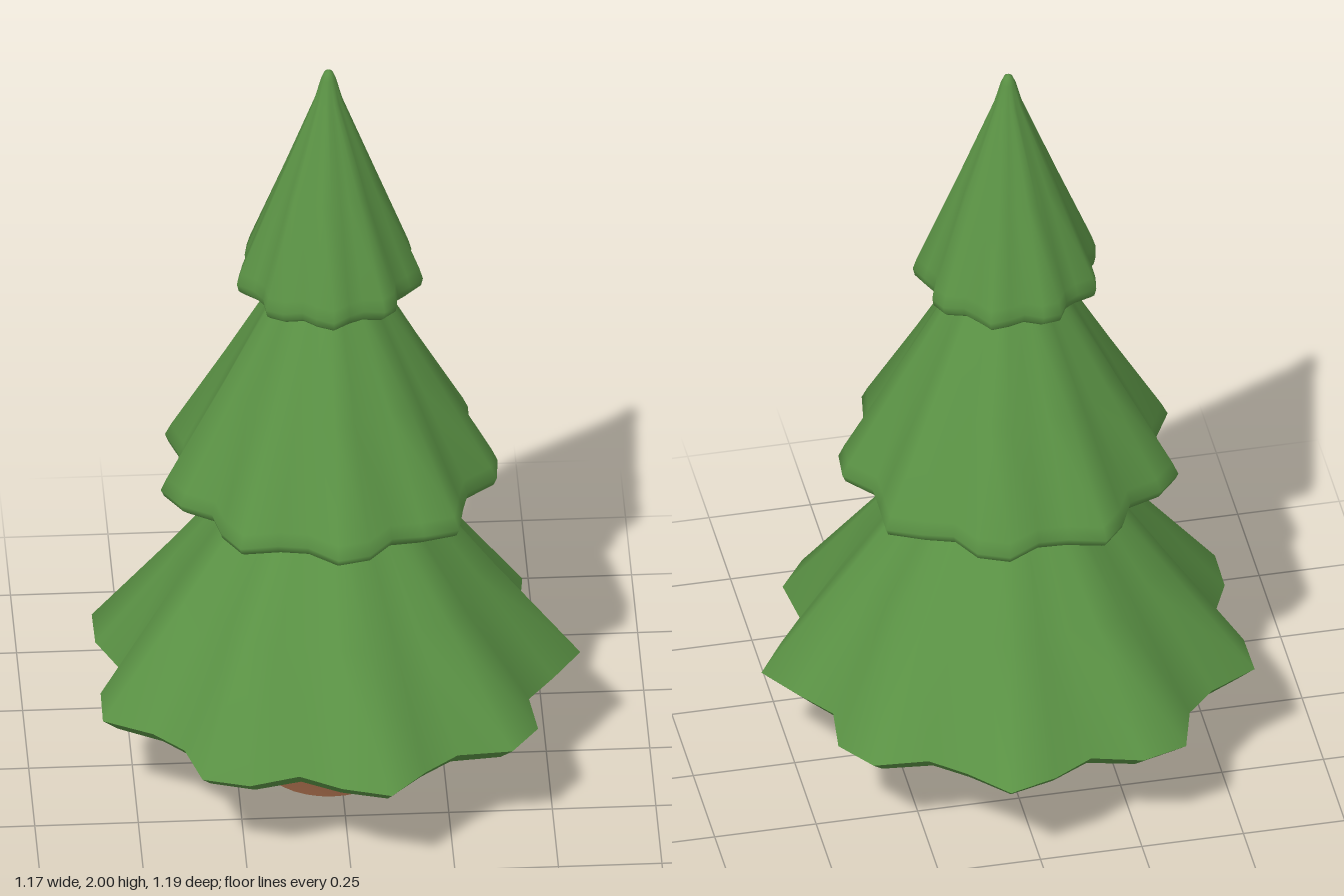
import * as THREE from 'three';
import { mergeVertices } from 'three/addons/utils/BufferGeometryUtils.js';

const SEGMENTS = 32, LOBES = 9, RIPPLE = 0.09;

// Smooth lathe strip from [radius, y] points, scalloped by a ripple that fades towards the axis
function strip(points, rim = 1, ripple = 0, phase = 0) {
  let geo = new THREE.LatheGeometry(points.map(([r, y]) => new THREE.Vector2(r, y)), SEGMENTS);
  geo.deleteAttribute('uv');
  geo.deleteAttribute('normal');
  const p = geo.attributes.position;
  for (let i = 0; i < p.count; i++) {
    const x = p.getX(i), z = p.getZ(i);
    const fade = Math.min(1, Math.hypot(x, z) / rim);
    const k = 1 + ripple * fade * Math.cos(LOBES * Math.atan2(z, x) - phase);
    p.setXYZ(i, x * k, p.getY(i), z * k);
  }
  geo = mergeVertices(geo, 1e-5);
  geo.computeVertexNormals();
  return geo;
}

function material(name, color) {
  const m = new THREE.MeshStandardMaterial({ color });
  m.name = name;
  return m;
}

export function createModel() {
  const green = material('needle green', 0x5b9345);
  const darkGreen = material('underside green', 0x32612f);
  const brown = material('bark brown', 0x7a4e35);
  const darkBrown = material('cut wood brown', 0x503425);

  const tree = new THREE.Group();
  tree.name = 'pineTree';
  tree.position.x = -0.026;

  const add = (name, geometry, mat) => {
    const mesh = new THREE.Mesh(geometry, mat);
    mesh.name = name;
    tree.add(mesh);
  };

  // Trunk with a flared foot
  add('trunkBase', strip([[0, 0], [0.165, 0]]), darkBrown);
  add('trunk', strip([[0.165, 0], [0.138, 0.035], [0.117, 0.1], [0.108, 0.14], [0.108, 0.36]]), brown);

  // Branch tiers: hollowed underside, then one or two outer strips (lip and cone)
  const tiers = [
    { name: 'lowerBranches', phase: 0, rim: 0.558, hollow: 0.33, outer: [
      [[0.524, 0.252], [0.558, 0.285]],
      [[0.558, 0.285], [0.371, 0.56], [0.182, 0.84], [0.03, 1.07], [0, 1.1]]] },
    { name: 'middleBranches', phase: 0.9, rim: 0.387, hollow: 0.91, outer: [
      [[0.367, 0.822], [0.38, 0.832], [0.387, 0.85], [0.374, 0.882],
        [0.25, 1.13], [0.118, 1.39], [0.02, 1.58], [0, 1.61]]] },
    { name: 'topBranches', phase: 1.8, rim: 0.211, hollow: 1.44, outer: [
      [[0.197, 1.385], [0.207, 1.395], [0.211, 1.415], [0.203, 1.445],
        [0.12, 1.68], [0.034, 1.915], [0.018, 1.975], [0.01, 1.994], [0, 2]]] },
  ];
  for (const { name, phase, rim, hollow, outer } of tiers) {
    const [r, y] = outer[0][0];
    add(name + 'Underside', strip([[0, hollow], [r * 0.9, y + 0.03], [r, y]], rim, RIPPLE, phase), darkGreen);
    for (const points of outer) add(name, strip(points, rim, RIPPLE, phase), green);
  }

  const model = new THREE.Group();
  model.name = 'model';
  model.add(tree);
  return model;
}
